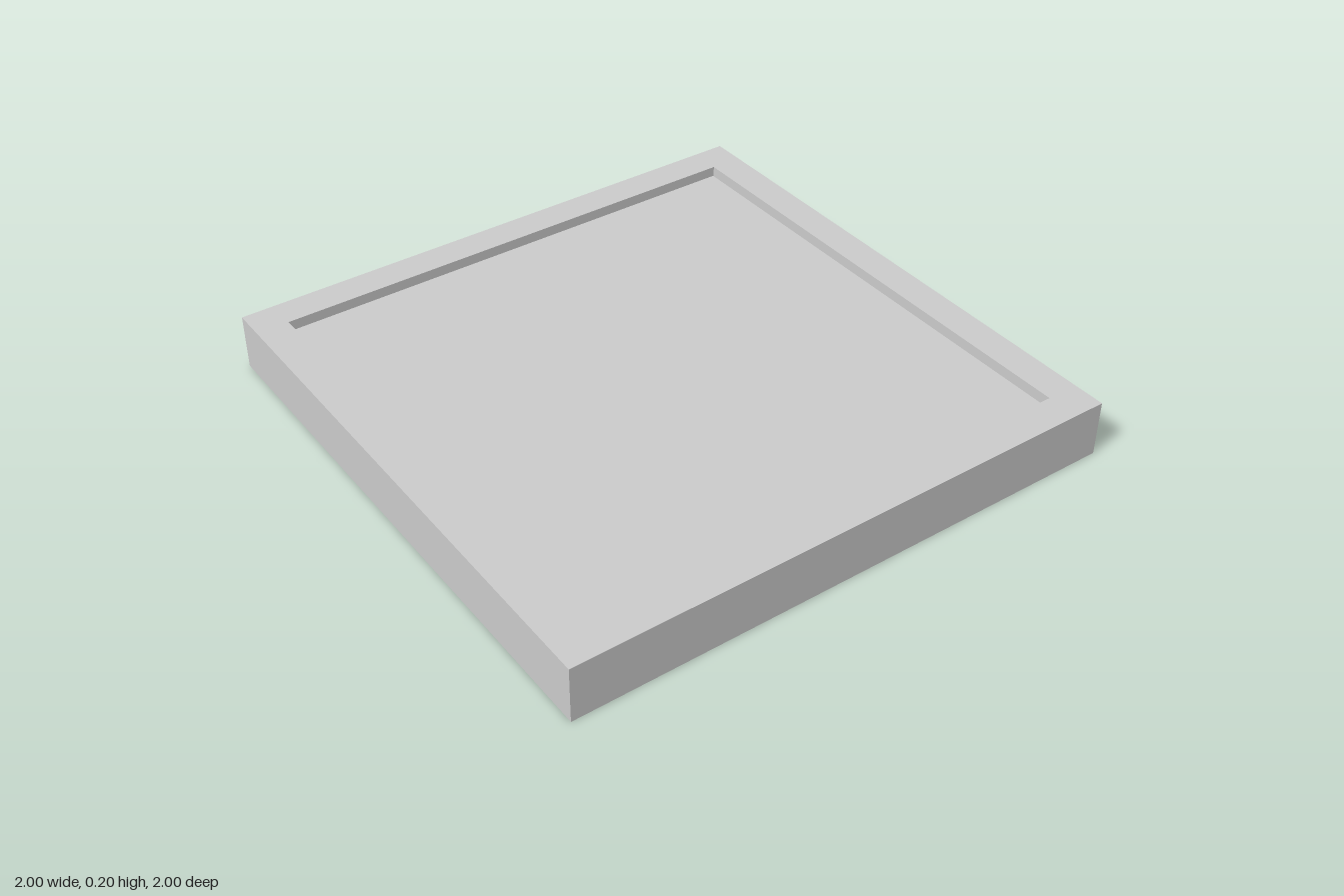
import * as THREE from 'three';

const material = new THREE.MeshStandardMaterial({ color: 0xcccccc });

// Square outline centred on the origin
function square(half, PathType) {
  return new PathType([
    new THREE.Vector2(-half, -half), new THREE.Vector2(half, -half),
    new THREE.Vector2(half, half), new THREE.Vector2(-half, half),
  ]);
}

// One-piece tray profile swept around a square: four-sided rings [half width, height]
function squareSweep(rings) {
  const geometry = new THREE.LatheGeometry(
    rings.map(([half, y]) => new THREE.Vector2(half * Math.SQRT2, y)), 4, Math.PI / 4);
  const flat = geometry.toNonIndexed();
  flat.computeVertexNormals();
  return flat;
}

function add(group, name, geometry, y = 0) {
  const mesh = new THREE.Mesh(geometry, material);
  mesh.name = name;
  mesh.position.y = y;
  group.add(mesh);
  return mesh;
}

export function createModel() {
  const group = new THREE.Group();
  group.name = 'tray';

  // Outer walls, flat rim, recess walls and the floor of the narrow groove
  add(group, 'frame', squareSweep([
    [1, 0], [1, 0.2], [0.885, 0.2], [0.885, 0.1], [0.87, 0.1],
  ]));

  // Underside
  const underside = add(group, 'underside', new THREE.ShapeGeometry(square(1, THREE.Shape)));
  underside.rotation.x = Math.PI / 2;

  // Inset panel, slightly below the rim with a thin gap around it
  add(group, 'panel', new THREE.BoxGeometry(1.75, 0.07, 1.75), 0.135);

  return group;
}
